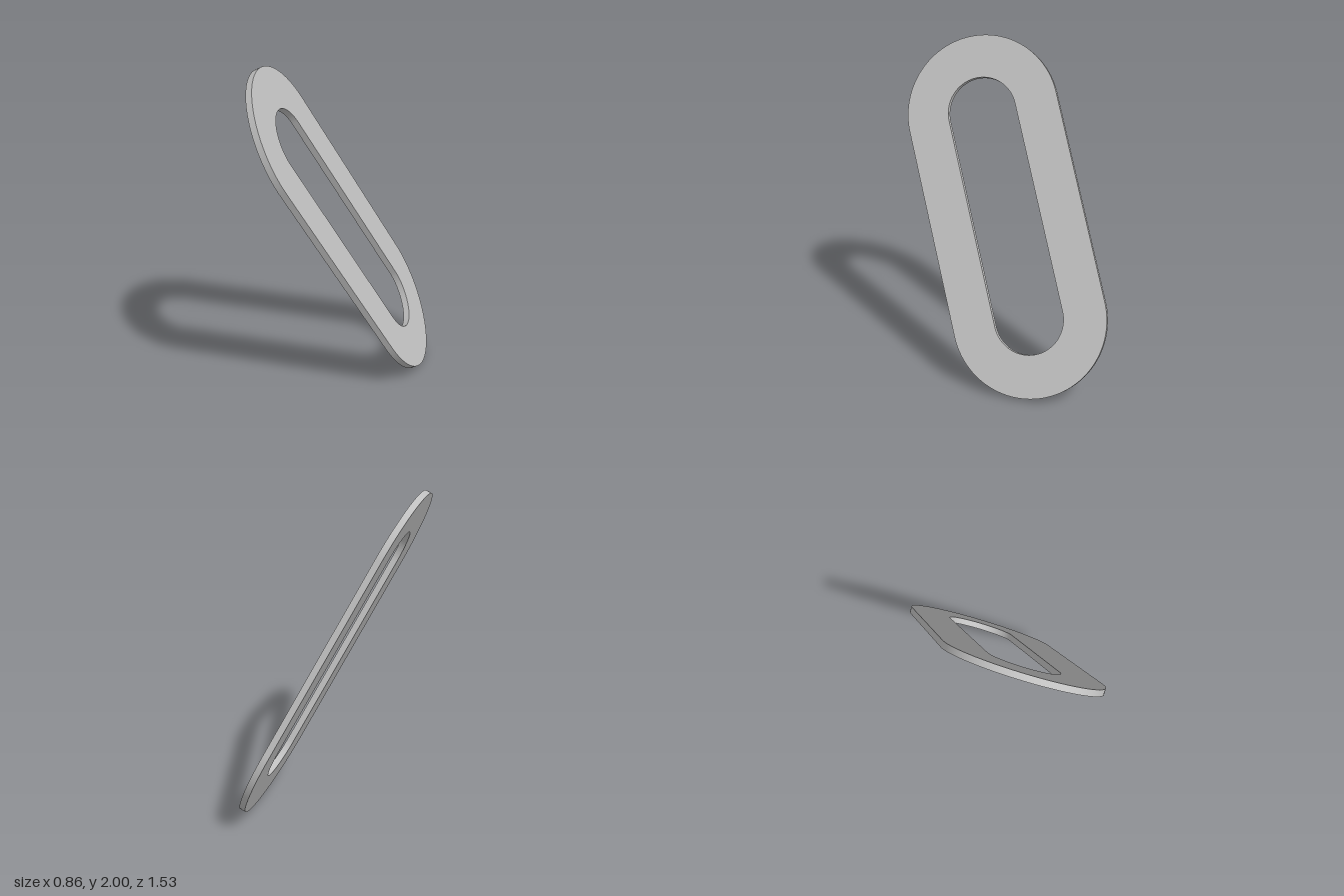
import * as THREE from 'three';
import { toCreasedNormals } from 'three/addons/utils/BufferGeometryUtils.js';

const HALF = 0.655;      // distance from the middle to each end's arc centre
const OUTER = 0.482;     // outer end radius
const INNER = 0.217;     // slot end radius
const THICK = 0.04;

// Outline with two straight sides and round ends, long axis along y
function stadium(path, r) {
  path.moveTo(r, -HALF);
  path.lineTo(r, HALF);
  path.absarc(0, HALF, r, 0, Math.PI, false);
  path.lineTo(-r, -HALF);
  path.absarc(0, -HALF, r, Math.PI, Math.PI * 2, false);
  return path;
}

export function createModel() {
  const group = new THREE.Group();
  group.name = 'tiltedLink';
  const grey = new THREE.MeshStandardMaterial({ color: 0xbfbfbf });
  grey.name = 'plain grey';

  // Flat oblong link with a long slot
  const shape = stadium(new THREE.Shape(), OUTER);
  shape.holes.push(stadium(new THREE.Path(), INNER));
  const plate = new THREE.ExtrudeGeometry(shape, { depth: THICK, bevelEnabled: false, curveSegments: 48 });
  plate.translate(0, 0, -THICK / 2);

  const link = new THREE.Mesh(toCreasedNormals(plate, 0.5), grey);
  link.name = 'slottedLink';

  // Lean forward, tip sideways and turn about the long axis
  const deg = THREE.MathUtils.degToRad;
  link.rotation.set(deg(30), deg(-54.7), deg(11.2), 'XZY');
  link.position.y = 1;
  group.add(link);
  return group;
}
